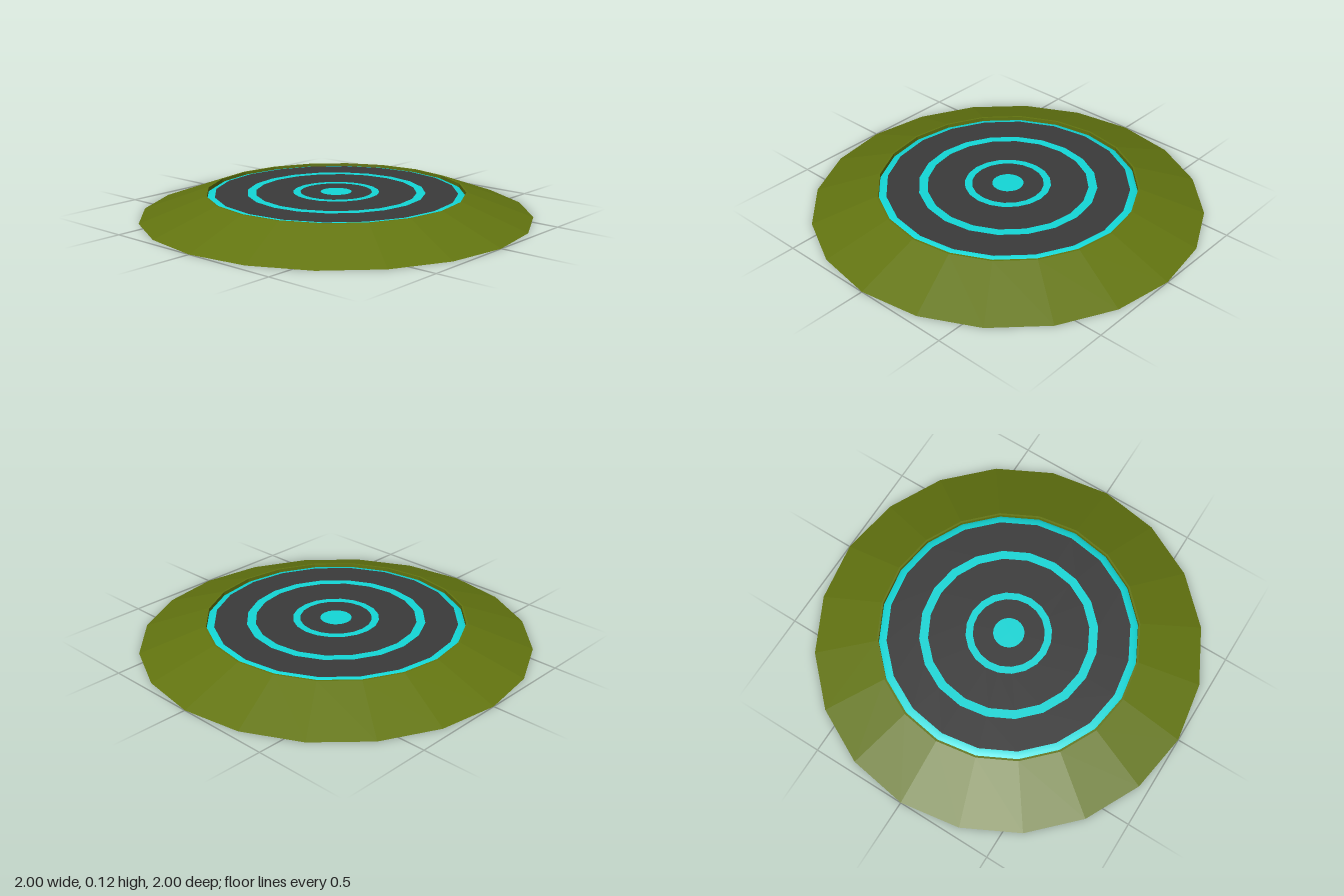
import * as THREE from 'three';

const SIDES = 20;
const OLIVE = 0x637510, CYAN = 0x13d8d8, DARK = 0x3b3b3b;
const PLATE_Y = 0.113;

// Revolves a [radius, height] profile, listed bottom-outer to top-inner
function lathe(name, color, profile, flatShading) {
  const points = profile.map(([r, y]) => new THREE.Vector2(r, y));
  const material = new THREE.MeshStandardMaterial({ color, flatShading });
  const mesh = new THREE.Mesh(new THREE.LatheGeometry(points, SIDES), material);
  mesh.name = name;
  return mesh;
}

export function createModel() {
  const group = new THREE.Group();
  group.name = 'targetPad';

  // Sloped base with closed underside and a thin raised lip around the plate
  group.add(lathe('base', OLIVE,
    [[0, 0], [1, 0], [0.67, 0.12], [0.66, 0.12], [0.66, 0.1]], true));

  // Rounded glowing edge of the plate
  group.add(lathe('outerRing', CYAN,
    [[0.66, 0.1], [0.645, 0.109], [0.62, PLATE_Y]], false));

  // Flat concentric bands: outer radius, inner radius, color
  const bands = [
    ['outerPlate', 0.62, 0.455, DARK],
    ['middleRing', 0.455, 0.41, CYAN],
    ['middlePlate', 0.41, 0.22, DARK],
    ['innerRing', 0.22, 0.183, CYAN],
    ['innerPlate', 0.183, 0.08, DARK],
    ['centerDisc', 0.08, 0, CYAN],
  ];
  for (const [name, outer, inner, color] of bands) {
    group.add(lathe(name, color, [[outer, PLATE_Y], [inner, PLATE_Y]], true));
  }
  return group;
}
